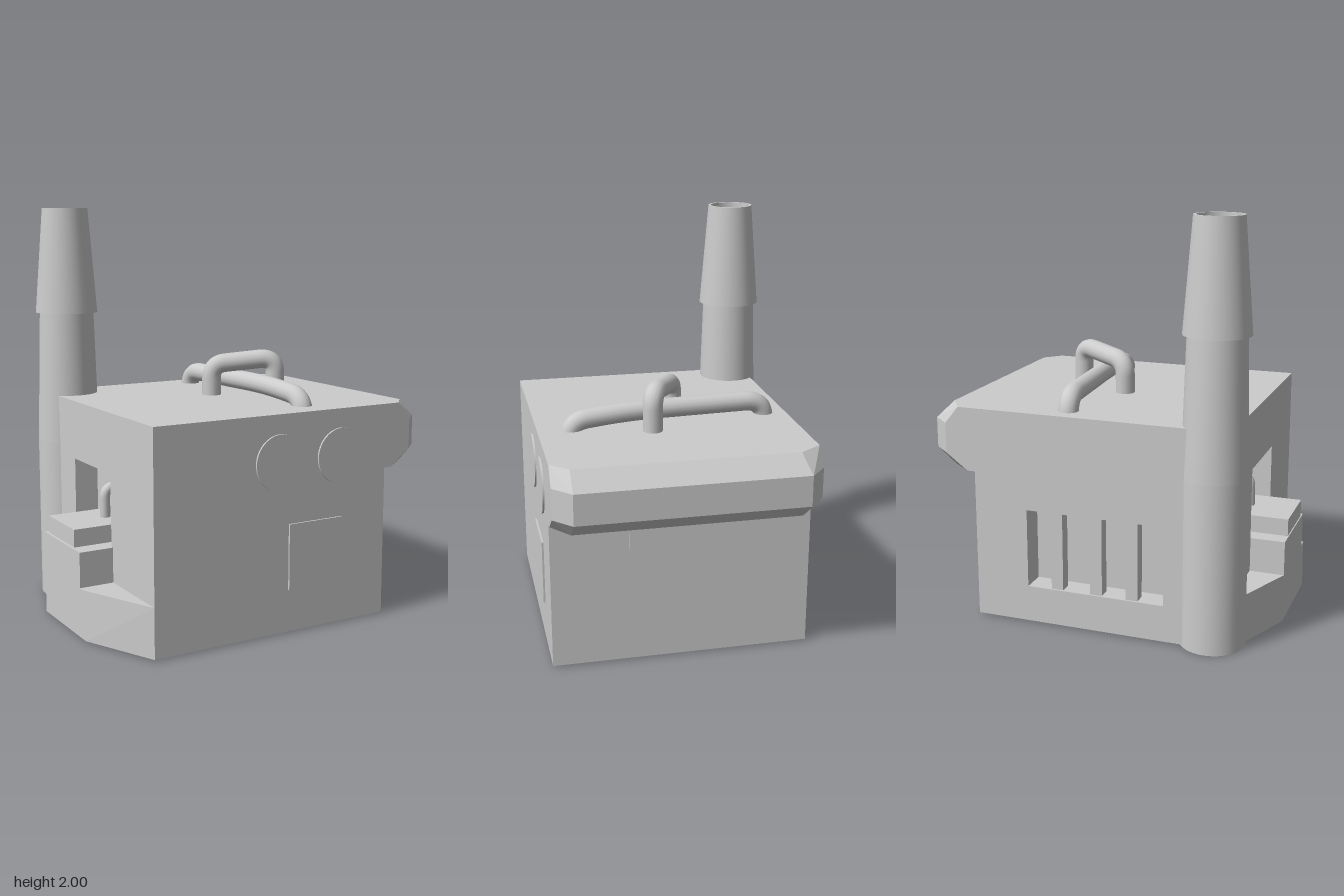
import * as THREE from 'three';
import { ConvexGeometry } from 'three/addons/geometries/ConvexGeometry.js';

const grey = new THREE.MeshStandardMaterial({ color: 0xcccccc });
grey.name = 'plainGrey';
const greyOpen = grey;

export function createModel() {
  const model = new THREE.Group();

  const add = (name, geometry, x = 0, y = 0, z = 0) => {
    const mesh = new THREE.Mesh(geometry, greyOpen);
    mesh.name = name;
    mesh.position.set(x, y, z);
    model.add(mesh);
    return mesh;
  };
  // Box given by its minimum and maximum corners
  const block = (name, x0, x1, y0, y1, z0, z1) =>
    add(name, new THREE.BoxGeometry(x1 - x0, y1 - y0, z1 - z0), (x0 + x1) / 2, (y0 + y1) / 2, (z0 + z1) / 2);
  const rectangle = (path, a0, a1, b0, b1) =>
    path.moveTo(a0, b0).lineTo(a1, b0).lineTo(a1, b1).lineTo(a0, b1).closePath();
  // Wall panel with a rectangular opening
  const wall = (outer, hole) => {
    const shape = rectangle(new THREE.Shape(), ...outer);
    shape.holes.push(rectangle(new THREE.Path(), ...hole));
    return new THREE.ExtrudeGeometry(shape, { depth: 0.12, bevelEnabled: false });
  };
  // Round pipe along straight runs with rounded bends
  const pipe = (name, points, radius, bend) => {
    const p = points.map((v) => new THREE.Vector3(...v));
    const path = new THREE.CurvePath();
    let start = p[0];
    for (let i = 1; i < p.length - 1; i++) {
      const before = p[i].clone().add(p[i - 1].clone().sub(p[i]).setLength(bend[i - 1]));
      const after = p[i].clone().add(p[i + 1].clone().sub(p[i]).setLength(bend[i - 1]));
      path.add(new THREE.LineCurve3(start, before));
      path.add(new THREE.QuadraticBezierCurve3(before, p[i], after));
      start = after;
    }
    path.add(new THREE.LineCurve3(start, p[p.length - 1]));
    add(name, new THREE.TubeGeometry(path, 60, radius, 16));
  };

  // Body: solid core, back wall with barred window, side wall with niche
  block('bodyCore', -0.55, 0.6, 0.01, 1.06, -0.49, 0.645);
  add('backWall', wall([-0.67, 0.6, 0.01, 1.06], [-0.36, 0.33, 0.19, 0.58]), 0, 0, -0.61);
  const side = wall([-0.49, 0.645, 0.01, 1.06], [-0.2, 0.21, 0.42, 0.77]);
  side.rotateY(-Math.PI / 2);
  add('sideWall', side, -0.55, 0, 0);
  for (const x of [0.18, -0.02, -0.2]) block('windowBar', x - 0.03, x + 0.03, 0.19, 0.58, -0.6, -0.54);

  // Chamfered ledge overhanging one side
  const ledge = [];
  for (const [y, inner, outer, front, back] of [
    [0.745, 0.64, 0.75, 0.56, -0.52],
    [0.825, 0.75, 0.84, 0.56, -0.53],
    [0.975, 0.75, 0.84, 0.56, -0.53],
    [1.06, 0.68, 0.755, 0.56, -0.5],
  ]) {
    for (const [x, z] of [[0.6, 0.645], [inner, 0.645], [outer, front], [outer, back], [inner, -0.61], [0.6, -0.61]]) {
      ledge.push(new THREE.Vector3(x, y, z));
    }
  }
  add('ledge', new ConvexGeometry(ledge));

  // Tapered plinth with a counter in front of the niche
  const plinth = [];
  for (const [y, z0, z1] of [[0.01, -0.2, 0.28], [0.25, -0.2, 0.26]]) {
    for (const [x, z] of [[-0.67, 0.645], [-0.84, z1], [-0.84, z0], [-0.67, -0.61]]) {
      plinth.push(new THREE.Vector3(x, y, z));
    }
  }
  add('plinth', new ConvexGeometry(plinth));
  block('counterBase', -0.84, -0.67, 0.24, 0.42, -0.2, 0.225);
  block('counterTop', -0.84, -0.56, 0.43, 0.515, -0.14, 0.165);
  pipe('tap', [[-0.61, 0.5, 0.015], [-0.61, 0.66, 0.015], [-0.53, 0.66, 0.015]], 0.025, [0.05]);

  // Thin plates on the front and side
  for (const x of [-0.01, 0.335]) {
    const disc = new THREE.CylinderGeometry(0.135, 0.135, 0.009, 48);
    disc.rotateX(Math.PI / 2);
    add('roundWindow', disc, x, 0.833, 0.6495);
  }
  block('frontHatch', 0.04, 0.34, 0.215, 0.535, 0.645, 0.654);
  block('sideHatch', 0.6, 0.604, 0.42, 0.72, -0.25, 0.27);

  // Chimney: tapered stack and a hollow cap
  const lathe = (name, points) =>
    points.slice(1).forEach((end, i) => {
      const pair = [points[i], end].map(([r, y]) => new THREE.Vector2(r, y));
      add(name, new THREE.LatheGeometry(pair, 40), -0.57, 0, -0.505);
    });
  lathe('chimneyStack', [[0, 0], [0.157, 0], [0.157, 0.82], [0.137, 1.475]]);
  lathe('chimneyCap', [[0.1, 1.475], [0.157, 1.475], [0.115, 2], [0.102, 2], [0.102, 1.5], [0, 1.5]]);

  // Roof pipes
  pipe('longRoofPipe', [[0.15, 1, -0.5], [0.153, 1.128, -0.5], [0.2, 1.128, 0.2], [0.22, 1.1, 0.49], [0.22, 1, 0.49]], 0.048, [0.1, 0.15, 0.09]);
  pipe('roofHandle', [[0.03, 1, -0.055], [0.03, 1.215, -0.055], [0.315, 1.25, 0.1], [0.315, 1, 0.1]], 0.048, [0.07, 0.08]);

  return model;
}
